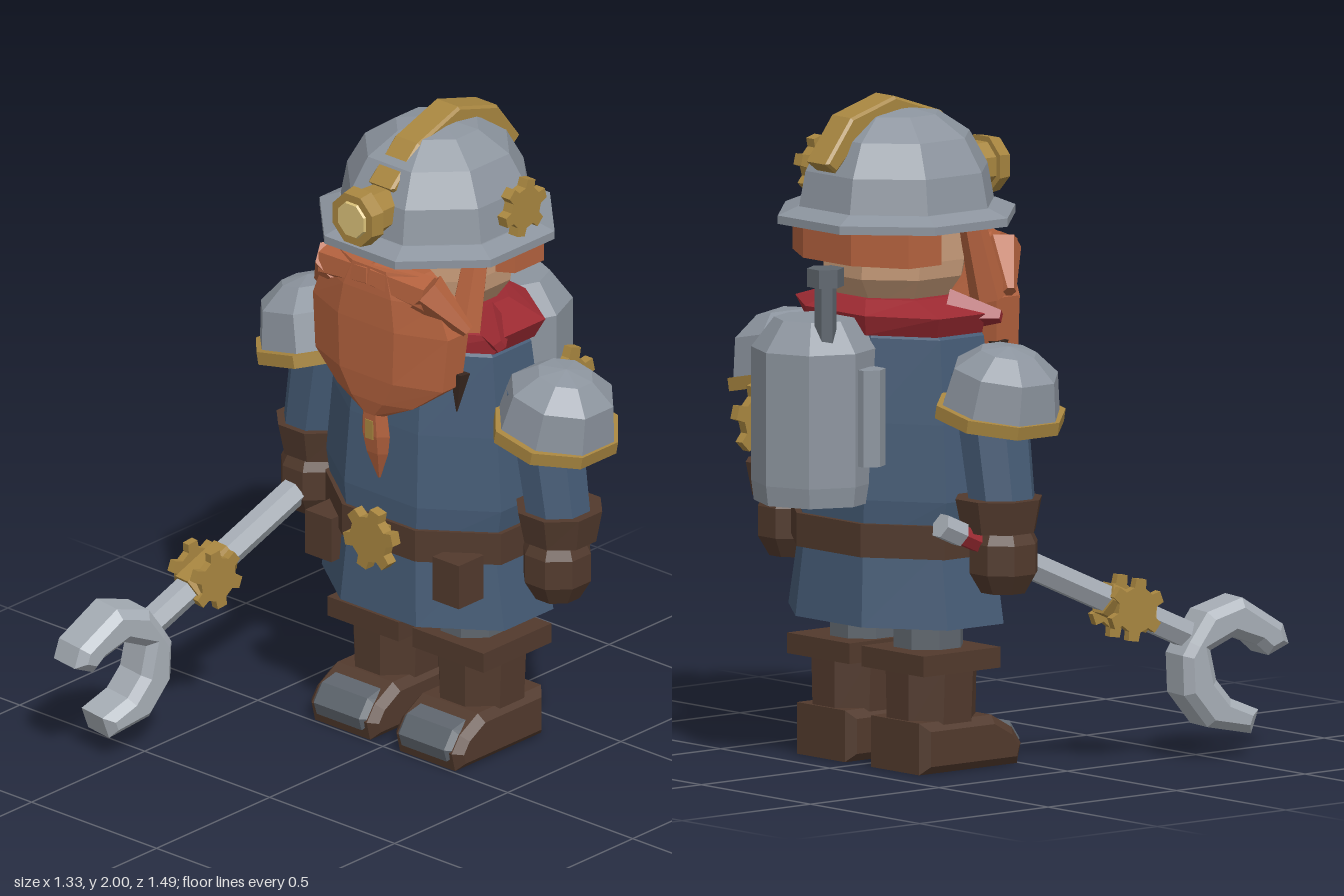
import * as THREE from 'three';

const C = {
  steel: 0x8c949e, dark: 0x5e656d, bright: 0xa6adb5, gold: 0xa88640, lens: 0xd8bf78, hair: 0xb4623e,
  skin: 0xc69a78, red: 0x9c2a32, coat: 0x455b75, leather: 0x523a2d, sole: 0x38271f, eye: 0x1b222b,
};
const mats = {};
const mat = (c) => (mats[c] ??= new THREE.MeshStandardMaterial({ color: C[c], flatShading: true }));

export function createModel() {
  const root = new THREE.Group();

  function add(name, geo, color, pos = [0, 0, 0], rot = [0, 0, 0], parent = root) {
    const m = new THREE.Mesh(geo, mat(color));
    m.name = name;
    m.position.set(...pos);
    m.rotation.set(...rot);
    parent.add(m);
    return m;
  }
  const box = (w, h, d) => new THREE.BoxGeometry(w, h, d);

  // Closed faceted body; rows run top to bottom as [y, half width, half depth, centre z]
  function loft(rows, n = 8, flatFront = true) {
    const g = new THREE.CylinderGeometry(1, 1, 1, n, rows.length - 1);
    const k = flatFront ? 1 / Math.cos(Math.PI / n) : 1;
    if (flatFront) g.rotateY(Math.PI / n);
    const p = g.attributes.position;
    for (let i = 0; i < p.count; i++) {
      const [y, rx, rz = rx, cz = 0] = rows[Math.round((0.5 - p.getY(i)) * (rows.length - 1))];
      p.setXYZ(i, p.getX(i) * rx * k, y, p.getZ(i) * rz * k + cz);
    }
    g.computeVertexNormals();
    return g;
  }

  // Tapered prism between two points
  function limb(a, b, r1, r2, n = 6) {
    const A = new THREE.Vector3(...a), B = new THREE.Vector3(...b), d = B.clone().sub(A);
    const g = new THREE.CylinderGeometry(r2, r1, d.length(), n);
    g.rotateY(Math.PI / n);
    g.applyQuaternion(new THREE.Quaternion().setFromUnitVectors(new THREE.Vector3(0, 1, 0), d.normalize()));
    return g.translate(...A.add(B).multiplyScalar(0.5).toArray());
  }

  // Side outline of [z, y] points, extruded across x
  function sideSlab(pts, width, bevel) {
    const shape = new THREE.Shape(pts.map((q) => new THREE.Vector2(...q)));
    const g = new THREE.ExtrudeGeometry(shape, {
      depth: width - 2 * bevel, bevelEnabled: bevel > 0, bevelSegments: 1,
      bevelSize: bevel, bevelThickness: bevel, bevelOffset: -bevel,
    });
    return g.translate(0, 0, bevel - width / 2).rotateY(-Math.PI / 2);
  }

  // Six-toothed gear facing z
  function gear(r, t) {
    const pts = [];
    for (let i = 0; i < 6; i++) {
      for (const [o, k] of [[-0.3, 0.72], [-0.19, 1], [0.19, 1], [0.3, 0.72]]) {
        const a = (i * Math.PI) / 3 + o + 0.25;
        pts.push(new THREE.Vector2(Math.cos(a) * r * k, Math.sin(a) * r * k));
      }
    }
    const g = new THREE.ExtrudeGeometry(new THREE.Shape(pts), { depth: t, bevelEnabled: false });
    return g.translate(0, 0, -t / 2);
  }
  const sideways = [0, Math.PI / 2, 0];

  // Coat and belt
  add('coat', loft([[1.38, 0.2, 0.15, -0.25], [1.3, 0.3, 0.205, -0.24], [1.05, 0.33, 0.235, -0.24],
    [0.82, 0.35, 0.25, -0.24], [0.68, 0.325, 0.245, -0.24], [0.44, 0.365, 0.263, -0.242]]), 'coat');
  add('belt', loft([[0.75, 0.352, 0.262, -0.243], [0.65, 0.352, 0.262, -0.243]]), 'leather');
  add('buckleGear', gear(0.1, 0.035), 'gold', [0.01, 0.7, 0.06]);
  add('buckleMount', box(0.08, 0.08, 0.06), 'gold', [0.01, 0.7, 0.03]);

  // Helmet
  const hz = -0.24;
  add('helmetDome', loft([[1.97, 0], [1.945, 0.12], [1.88, 0.21], [1.78, 0.262], [1.65, 0.285]]), 'steel', [0, 0, hz]);
  add('helmetBrim', loft([[1.675, 0.285], [1.65, 0.342], [1.625, 0.342]]), 'steel', [0, 0, hz]);
  add('helmetCrest', sideSlab([[0.02, 1.83], [-0.1, 1.94], [-0.28, 2], [-0.45, 1.95], [-0.55, 1.82],
    [-0.51, 1.79], [-0.43, 1.87], [-0.28, 1.92], [-0.1, 1.86], [-0.02, 1.79]], 0.1, 0.008), 'gold', [0.005, 0, 0]);
  add('lampHousing', limb([0, 1.755, -0.03], [0, 1.755, 0.1], 0.07, 0.075, 8), 'gold');
  add('lampRim', limb([0, 1.755, 0.09], [0, 1.755, 0.135], 0.092, 0.085, 8), 'gold');
  add('lampLens', limb([0, 1.755, 0.12], [0, 1.755, 0.142], 0.068, 0.055, 8), 'lens');
  add('helmetGear', gear(0.09, 0.035), 'gold', [0.308, 1.755, -0.275], sideways);
  add('helmetGearMount', box(0.06, 0.06, 0.06), 'gold', [0.275, 1.755, -0.275]);

  // Head, hair and beard
  add('head', loft([[1.64, 0.21, 0.2, -0.24], [1.52, 0.215, 0.205, -0.245], [1.47, 0.21, 0.2, -0.25],
    [1.38, 0.15, 0.14, -0.25]]), 'skin');
  add('hair', loft([[1.64, 0.265, 0.155, -0.355], [1.52, 0.265, 0.155, -0.355]]), 'hair');
  add('beard', loft([[1.58, 0.16, 0.07, -0.01], [1.5, 0.23, 0.1, -0.03], [1.4, 0.27, 0.11, -0.035],
    [1.23, 0.255, 0.1, -0.025], [1.15, 0.15, 0.06, 0.01], [1.1, 0.045, 0.025, 0.035]]), 'hair');
  add('beardBraid', loft([[1.12, 0.04, 0.025, 0.035], [1.03, 0.048, 0.028, 0.03], [0.97, 0.038, 0.022, 0.025],
    [0.88, 0.004, 0.004, 0.015]], 6), 'hair');
  add('braidBead', box(0.03, 0.06, 0.02), 'gold', [0, 1.05, 0.052]);

  // Scarf
  add('scarf', loft([[1.41, 0.2, 0.16, -0.27], [1.37, 0.33, 0.215, -0.265], [1.31, 0.3, 0.215, -0.25]]), 'red');

  // Backpack tank
  const tz = -0.56;
  add('tank', loft([[1.36, 0.12], [1.27, 0.188], [0.87, 0.188], [0.81, 0.18]], 8, false), 'steel', [0, 0, tz]);
  add('tankPipe', limb([-0.11, 1.28, -0.61], [-0.11, 1.48, -0.61], 0.033, 0.033), 'dark');
  add('tankPipeCap', limb([-0.11, 1.47, -0.61], [-0.11, 1.525, -0.61], 0.056, 0.056), 'dark');
  add('sideCanister', limb([-0.18, 0.93, -0.5], [-0.18, 1.22, -0.5], 0.05, 0.05), 'steel');
  add('tankGear', gear(0.112, 0.03), 'gold', [0.185, 1.04, -0.605], sideways);

  // Mirrored parts
  for (const s of [-1, 1]) {
    const side = s > 0 ? 'left' : 'right';
    add(side + 'Eye', box(0.05, 0.06, 0.02), 'eye', [s * 0.085, 1.6, -0.035]);
    add(side + 'Moustache', limb([0, 1.545, 0.03], [s * 0.2, 1.525, 0.005], 0.045, 0.06), 'hair');
    add(side + 'MoustacheTip', limb([s * 0.18, 1.535, 0.01], [s * 0.295, 1.42, -0.05], 0.065, 0.02), 'hair');
    add(side + 'Sideburn', limb([s * 0.24, 1.63, -0.15], [s * 0.245, 1.4, -0.09], 0.04, 0.055), 'hair');
    add(side + 'ScarfPoint', limb([s * 0.22, 1.37, -0.22], [s * 0.35, 1.36, -0.13], 0.07, 0.02, 4), 'red');
    add(side + 'LapelPoint', limb([s * 0.255, 1.27, -0.06], [s * 0.255, 1.15, -0.045], 0.03, 0.002, 4), 'sole');
    add(side + 'Pouch', box(0.105, 0.14, 0.11), 'leather', [s * 0.255 + 0.01, 0.615, -0.04]);

    // Arm
    add(side + 'Sleeve', limb([s * 0.42, 1.22, hz], [s * 0.485, 0.82, hz], 0.115, 0.102, 8), 'coat');
    add(side + 'Cuff', loft([[0.845, 0.125, 0.125], [0.745, 0.108, 0.105]]), 'leather', [s * 0.48, 0, -0.25]);
    add(side + 'Hand', loft([[0.76, 0.075], [0.71, 0.098], [0.62, 0.098], [0.56, 0.065]]), 'leather', [s * 0.485, 0, -0.235]);

    // Shoulder guard, sloping outward
    const guard = new THREE.Group();
    guard.name = side + 'ShoulderGuard';
    guard.position.set(s * 0.472, 1.08, hz);
    guard.rotation.z = -s * 0.2;
    root.add(guard);
    add('guardDome', loft([[0.225, 0], [0.21, 0.08], [0.15, 0.15], [0.02, 0.172]]), 'steel', undefined, undefined, guard);
    add('guardRim', loft([[0.035, 0.178, 0.19], [-0.005, 0.178, 0.19]]), 'gold', undefined, undefined, guard);

    // Leg and boot
    const x = s * 0.17;
    add(side + 'Leg', loft([[0.55, 0.1], [0.33, 0.1]]), 'dark', [s * 0.145, 0, hz]);
    add(side + 'BootCuff', box(0.285, 0.062, 0.3), 'leather', [x, 0.33, -0.25]);
    add(side + 'BootShaft', loft([[0.31, 0.128, 0.132], [0.13, 0.12, 0.13]]), 'leather', [x, 0, -0.25]);
    add(side + 'BootFoot', sideSlab([[-0.39, 0], [-0.01, 0], [0.005, 0.06], [-0.03, 0.11], [-0.11, 0.155],
      [-0.39, 0.155]], 0.27, 0.025), 'leather', [x, 0, 0]);
    add(side + 'ToeCap', sideSlab([[-0.09, 0.03], [0.005, 0.03], [0.018, 0.07], [-0.02, 0.125], [-0.09, 0.14]],
      0.23, 0.025), 'dark', [x, 0, 0]);
  }

  // Wrench held in the right hand, local z along the shaft
  const wrench = new THREE.Group();
  wrench.name = 'wrench';
  wrench.position.set(-0.48, 0.66, -0.2);
  wrench.lookAt(-0.59, 0.2, 0.8);
  root.add(wrench);
  const rod = (name, a, b, r, color) => add(name, limb([0, 0, a], [0, 0, b], r, r), color, undefined, undefined, wrench);
  rod('wrenchPommel', -0.28, -0.2, 0.04, 'bright');
  rod('wrenchGrip', -0.21, 0.08, 0.033, 'red');
  rod('wrenchShaft', 0.06, 0.72, 0.045, 'bright');
  rod('wrenchCollar', 0.36, 0.53, 0.055, 'gold');
  for (const x of [-0.05, 0.05]) add('wrenchGear', gear(0.095, 0.025), 'gold', [x, 0, 0.45], sideways, wrench);

  // Open jaw, outlined in z and y
  const jaw = sideSlab([[0.74, 0.33], [0.72, 0.39], [0.58, 0.48], [0.46, 0.445], [0.4, 0.36], [0.375, 0.32],
    [0.38, 0.2], [0.46, 0.1], [0.61, 0.07], [0.635, 0.14], [0.54, 0.18], [0.49, 0.24], [0.47, 0.33],
    [0.55, 0.365], [0.63, 0.335], [0.67, 0.3]], 0.15, 0.025);
  jaw.translate(0, 0, -0.42).rotateY(-0.17);
  add('wrenchJaw', jaw, 'bright', [-0.555, 0, 0.42]);

  return root;
}
